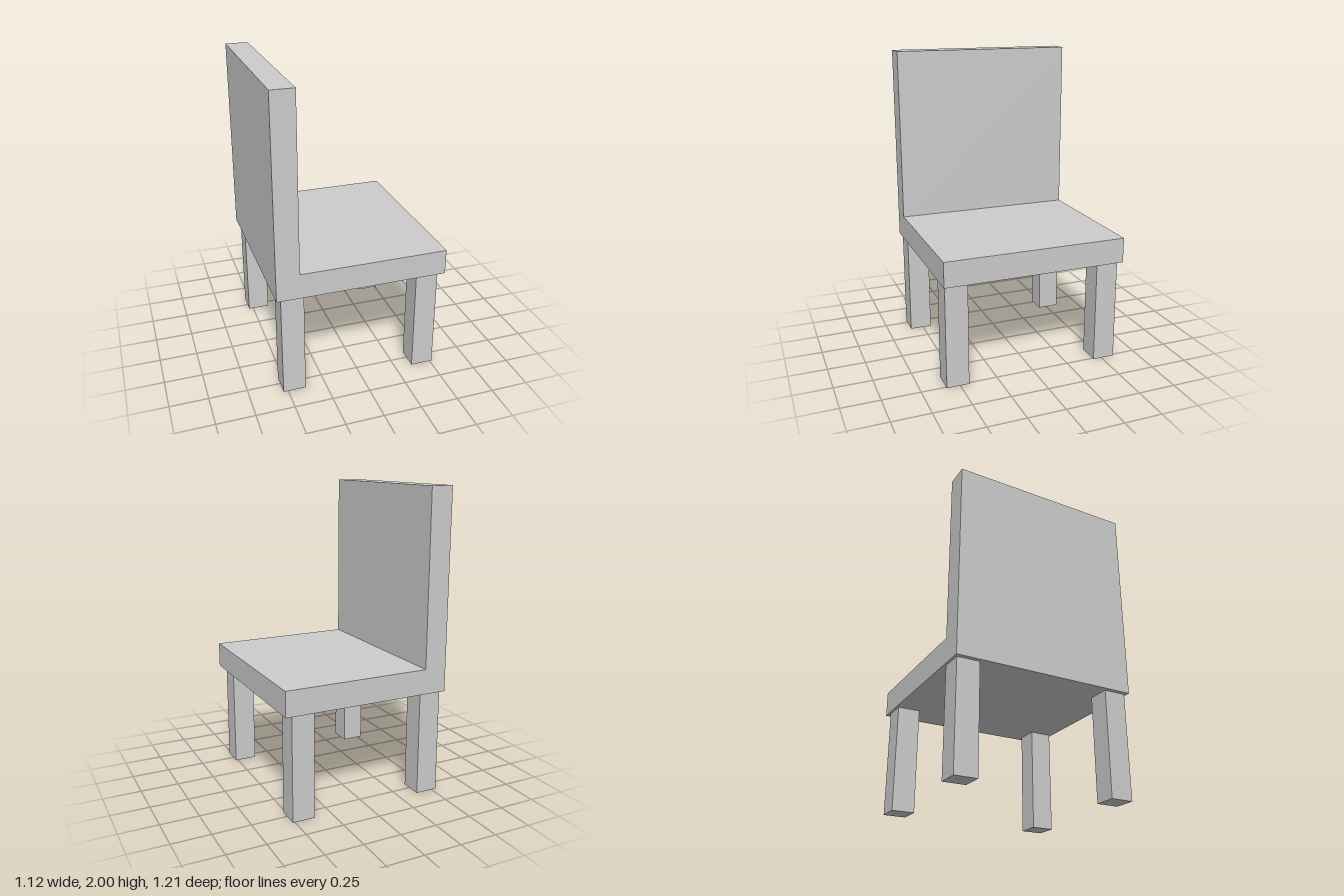
import * as THREE from 'three';

export function createModel() {
  const group = new THREE.Group();
  const material = new THREE.MeshStandardMaterial({ color: 0xcccccc, flatShading: true });

  // Seat and backrest: one L-shaped profile extruded across the width
  const width = 1.21;
  const profile = new THREE.Shape([
    [-0.56, 0.69], [0.56, 0.69], [0.56, 0.855],
    [-0.41, 0.855], [-0.41, 2], [-0.56, 2],
  ].map(([x, y]) => new THREE.Vector2(x, y)));
  const seatGeometry = new THREE.ExtrudeGeometry(profile, { depth: width, bevelEnabled: false });
  seatGeometry.translate(0, 0, -width / 2);
  const seat = new THREE.Mesh(seatGeometry, material);
  seat.name = 'seatAndBackrest';
  group.add(seat);

  // Four square legs, slightly inset from the seat edges
  const legHeight = 0.69;
  const legGeometry = new THREE.BoxGeometry(0.148, legHeight, 0.148);
  for (const [end, x] of [['backrest', -0.457], ['seatEdge', 0.44]]) {
    for (const side of [-1, 1]) {
      const leg = new THREE.Mesh(legGeometry, material);
      leg.name = `${end}Leg${side > 0 ? 'Front' : 'Rear'}`;
      leg.position.set(x, legHeight / 2, side * 0.515);
      group.add(leg);
    }
  }

  return group;
}
